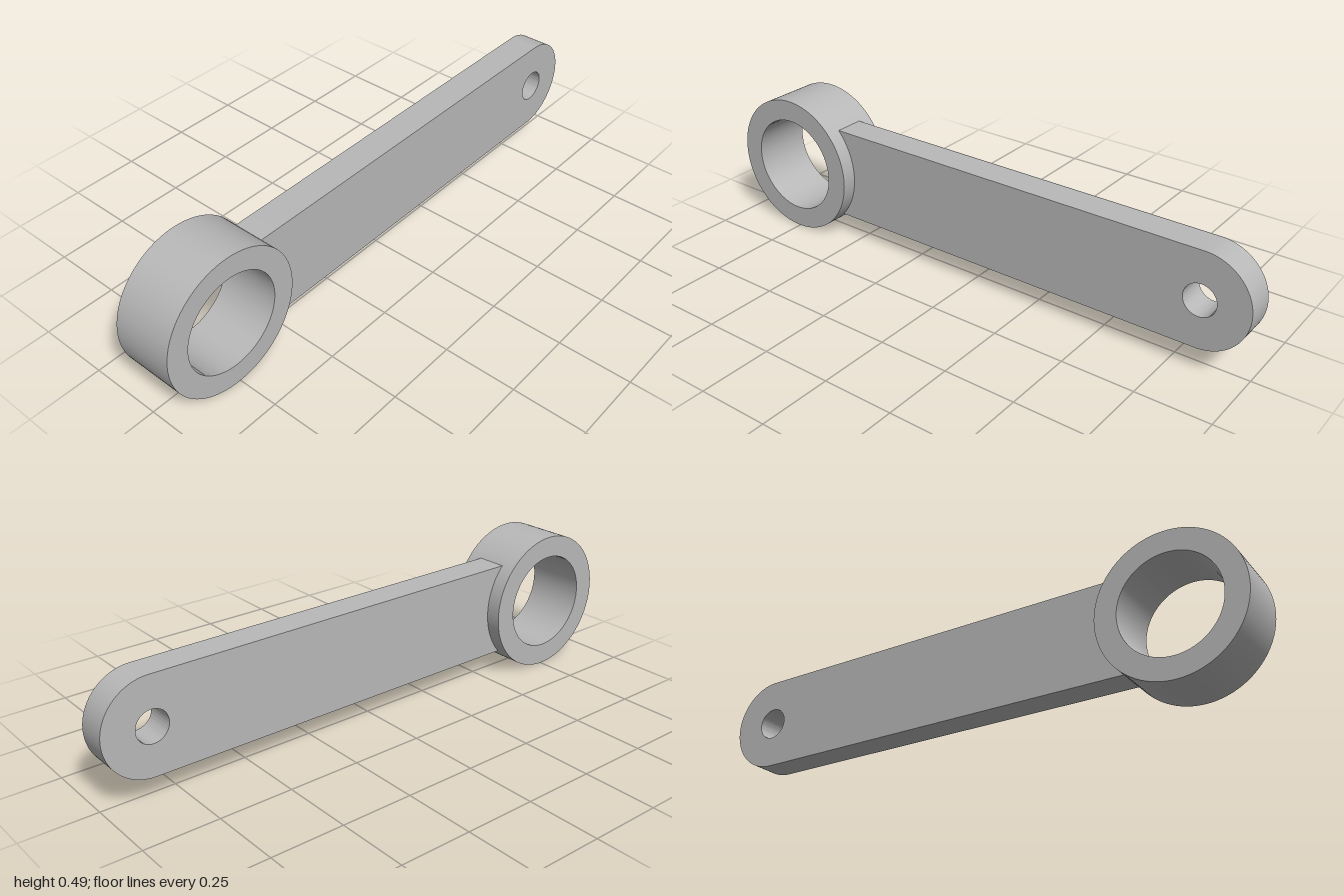
import * as THREE from 'three';
import { toCreasedNormals } from 'three/addons/utils/BufferGeometryUtils.js';

const CENTER_Y = 0.245;
const RING_X = -0.755, RING_R = 0.245, BORE_R = 0.17, RING_DEPTH = 0.212;
const TIP_X = 0.836, ARM_HALF = 0.164, PIN_R = 0.055, ARM_DEPTH = 0.106;

// Round hole outline
function hole(x, radius) {
  return new THREE.Path().absarc(x, 0, radius, 0, Math.PI * 2, true);
}

// Extrude a profile centred on z = 0, with smooth curves and sharp rims
function plate(name, shape, depth, material) {
  const geometry = new THREE.ExtrudeGeometry(shape, { depth, bevelEnabled: false, curveSegments: 48 });
  geometry.translate(0, CENTER_Y, -depth / 2);
  const mesh = new THREE.Mesh(toCreasedNormals(geometry, 0.5), material);
  mesh.name = name;
  return mesh;
}

export function createModel() {
  const group = new THREE.Group();
  group.name = 'leverArm';
  const metal = new THREE.MeshStandardMaterial({ color: 0xb8b8b8 });
  metal.name = 'grey metal';

  // Wide bearing ring
  const ring = new THREE.Shape().absarc(RING_X, 0, RING_R, 0, Math.PI * 2, false);
  ring.holes.push(hole(RING_X, BORE_R));
  group.add(plate('bearingRing', ring, RING_DEPTH, metal));

  // Thinner arm: rounded tip, and a concave root sunk slightly into the ring
  const rootR = RING_R - 0.01;
  const angle = Math.asin(ARM_HALF / rootR);
  const arm = new THREE.Shape();
  arm.moveTo(RING_X + rootR * Math.cos(angle), -ARM_HALF);
  arm.lineTo(TIP_X, -ARM_HALF);
  arm.absarc(TIP_X, 0, ARM_HALF, -Math.PI / 2, Math.PI / 2, false);
  arm.lineTo(RING_X + rootR * Math.cos(angle), ARM_HALF);
  arm.absarc(RING_X, 0, rootR, angle, -angle, true);
  arm.holes.push(hole(TIP_X, PIN_R));
  group.add(plate('arm', arm, ARM_DEPTH, metal));

  return group;
}
